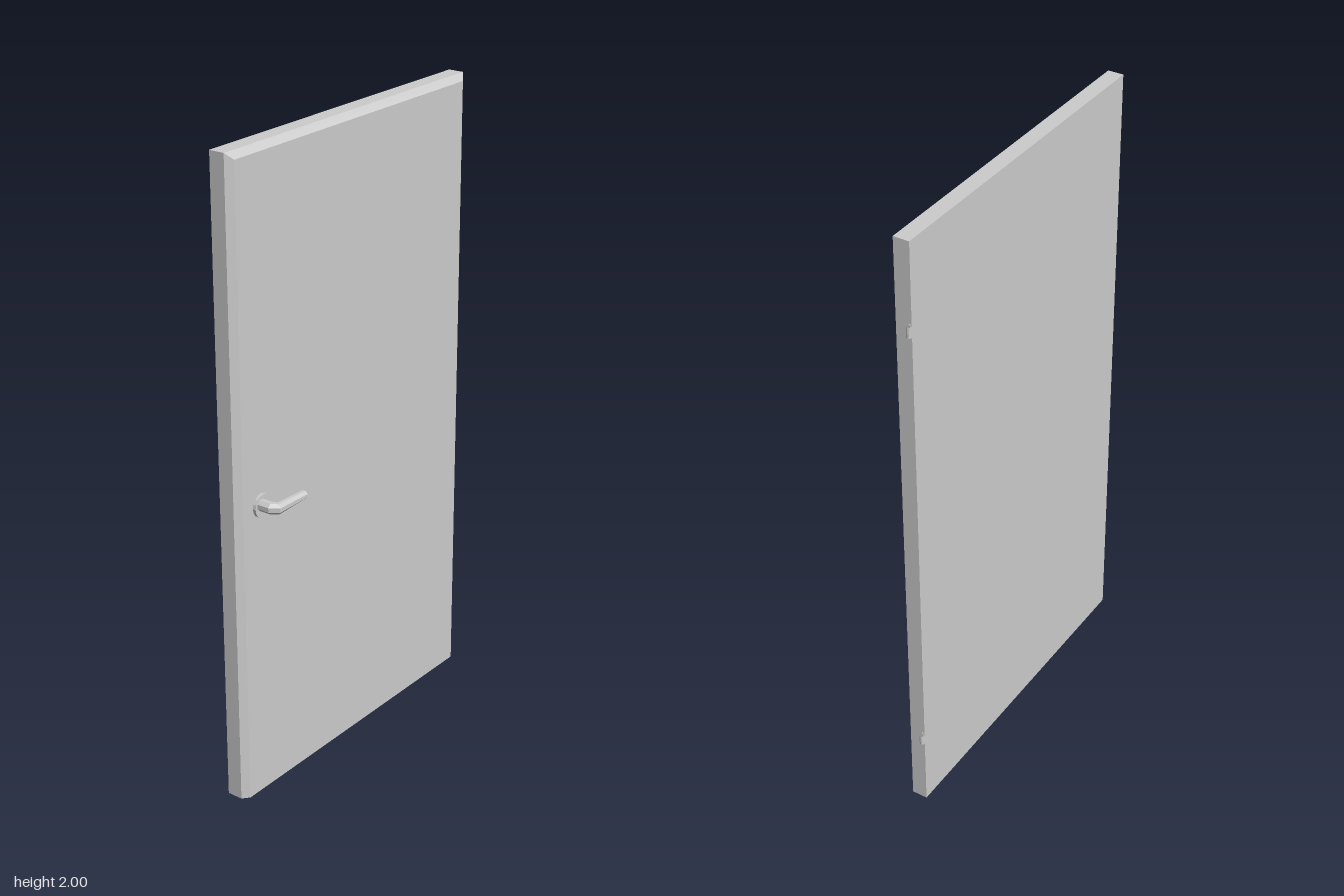
import * as THREE from 'three';

const grey = new THREE.MeshStandardMaterial({ color: 0xcccccc, flatShading: true });

function part(name, geometry, x = 0, y = 0, z = 0) {
  const mesh = new THREE.Mesh(geometry, grey);
  mesh.name = name;
  mesh.position.set(x, y, z);
  return mesh;
}

// Slab whose +x face is inset at both sides and the top, giving a rebated bevel
function slabGeometry() {
  const g = new THREE.BoxGeometry(2, 2, 2, 2, 1, 1).toNonIndexed();
  const p = g.attributes.position;
  for (let i = 0; i < p.count; i++) {
    const layer = Math.round(p.getX(i)) + 1; // 0 back, 1 bevel start, 2 face
    const face = layer === 2;
    const y = p.getY(i) > 0 ? (face ? 1.98 : 2) : 0;
    const z = p.getZ(i) > 0 ? (face ? 0.537 : 0.558) : (face ? -0.518 : -0.543);
    p.setXYZ(i, [-0.068, -0.018, 0][layer], y, z);
  }
  g.computeVertexNormals();
  return g;
}

// Lever lofted through eight-sided sections: outer x, z, inner x, z, half height
function leverGeometry() {
  const sections = [
    [0, 0.475, 0, 0.44, 0.017],
    [0.04, 0.475, 0.036, 0.44, 0.017],
    [0.068, 0.456, 0.04, 0.438, 0.016],
    [0.068, 0.33, 0.04, 0.33, 0.012],
  ];
  const sides = 8;
  const rings = sections.map(([ox, oz, ix, iz, h]) =>
    Array.from({ length: sides }, (_, k) => {
      const a = ((k + 0.5) / sides) * Math.PI * 2;
      const s = Math.cos(a) / Math.cos(Math.PI / sides) / 2;
      return [
        (ox + ix) / 2 + s * (ox - ix),
        (Math.sin(a) / Math.cos(Math.PI / sides)) * h,
        (oz + iz) / 2 + s * (oz - iz),
      ];
    }));
  const v = [];
  const end = rings[rings.length - 1];
  for (let k = 0; k < sides; k++) {
    const n = (k + 1) % sides;
    for (let i = 0; i + 1 < rings.length; i++) {
      const a = rings[i], b = rings[i + 1];
      v.push(...a[k], ...b[k], ...a[n], ...a[n], ...b[k], ...b[n]);
    }
    if (k > 0 && k < sides - 1) v.push(...end[0], ...end[n], ...end[k]);
  }
  const g = new THREE.BufferGeometry();
  g.setAttribute('position', new THREE.Float32BufferAttribute(v, 3));
  g.computeVertexNormals();
  return g;
}

export function createModel() {
  const door = new THREE.Group();
  door.name = 'door';
  door.add(part('doorLeaf', slabGeometry()));

  // Lever handle with its open collar
  const handle = new THREE.Group();
  handle.name = 'handle';
  handle.position.y = 0.948;
  const collar = new THREE.CylinderGeometry(0.037, 0.037, 0.01, 16, 1, true).rotateZ(Math.PI / 2);
  handle.add(part('lever', leverGeometry()), part('collar', collar, 0.005, 0, 0.458));
  door.add(handle);

  // Hinge knuckles, each with a small leaf into the door edge
  for (const y of [0.26, 1.732]) {
    const hinge = new THREE.Group();
    hinge.name = 'hinge';
    hinge.position.set(-0.065, y, -0.552);
    hinge.add(
      part('hingeKnuckle', new THREE.CylinderGeometry(0.008, 0.008, 0.034, 10, 1, true)),
      part('hingeLeaf', new THREE.BoxGeometry(0.004, 0.034, 0.006), 0.003, 0, 0.009),
    );
    door.add(hinge);
  }
  return door;
}
